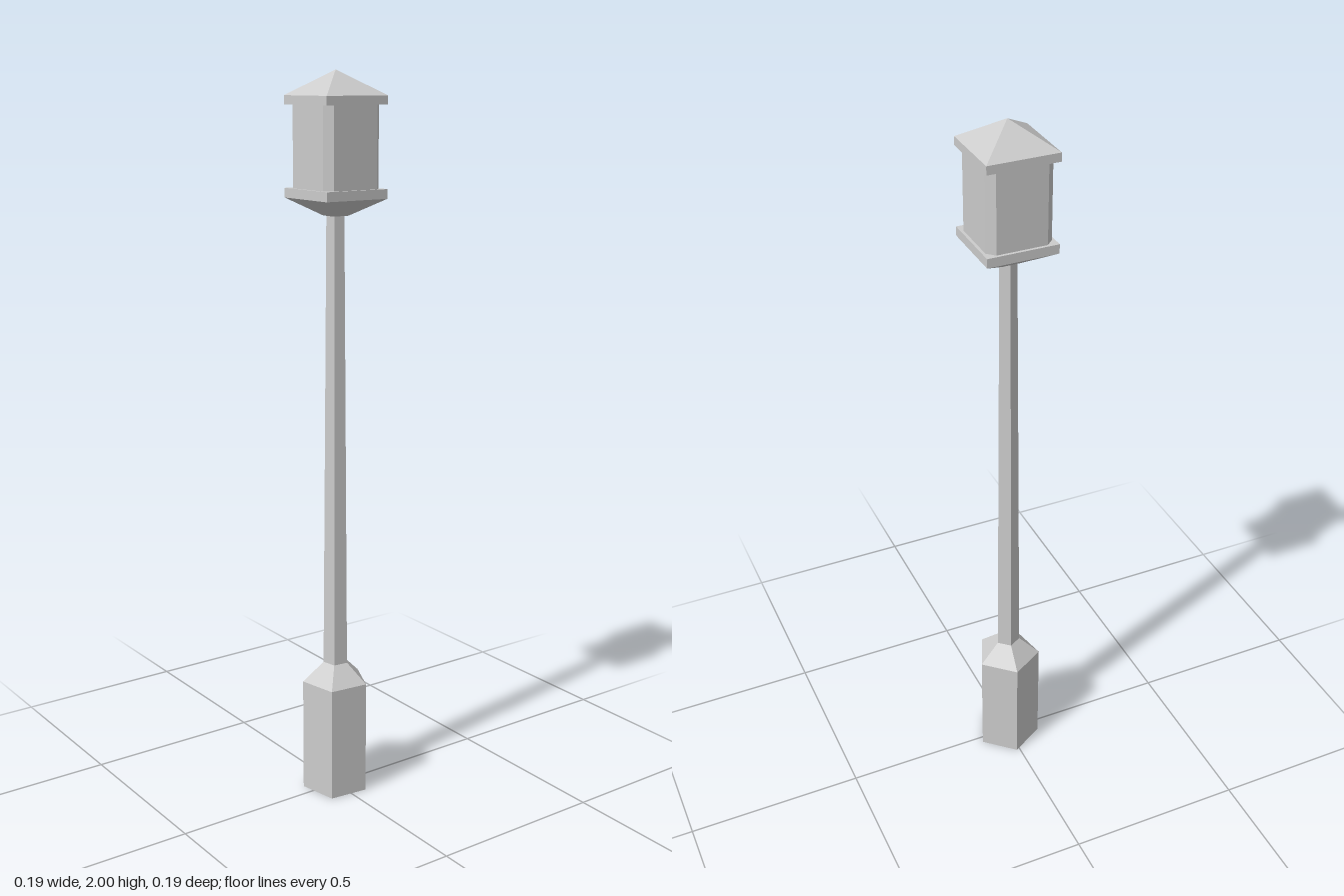
import * as THREE from 'three';

export function createModel() {
  const lamp = new THREE.Group();
  lamp.name = 'lampPost';
  const solid = new THREE.MeshStandardMaterial({ color: 0xcccccc, flatShading: true });
  const open = new THREE.MeshStandardMaterial({ color: 0xcccccc, flatShading: true, side: THREE.DoubleSide });

  const add = (parent, name, geometry, material, y) => {
    const mesh = new THREE.Mesh(geometry, material);
    mesh.name = name;
    mesh.position.y = y;
    parent.add(mesh);
  };

  // Five-sided hollow post, open at the foot
  const tube = (name, rTop, rBottom, y0, y1) =>
    add(lamp, name, new THREE.CylinderGeometry(rTop, rBottom, y1 - y0, 5, 1, true, Math.PI / 6), open, (y0 + y1) / 2);
  tube('base', 0.094, 0.094, 0, 0.325);
  tube('baseShoulder', 0.035, 0.094, 0.325, 0.38);
  tube('pole', 0.025, 0.035, 0.38, 1.635);

  // Square lantern
  const lantern = new THREE.Group();
  lantern.name = 'lantern';
  lamp.add(lantern);
  const half = 0.096;
  const square = (name, hTop, hBottom, y0, y1) =>
    add(lantern, name, new THREE.CylinderGeometry(hTop * Math.SQRT2, hBottom * Math.SQRT2, y1 - y0, 4, 1, false, Math.PI / 4), solid, (y0 + y1) / 2);
  square('lanternFoot', half, 0.024, 1.63, 1.675);
  square('lowerRim', half, half, 1.675, 1.7);
  square('upperRim', half, half, 1.913, 1.936);
  square('roof', 0, half, 1.936, 2);

  // Lantern housing: a square with cut corners
  const a = 0.088, b = 0.068;
  const outline = new THREE.Shape(
    [[a, -b], [a, b], [b, a], [-b, a], [-a, b], [-a, -b], [-b, -a], [b, -a]].map(([x, y]) => new THREE.Vector2(x, y))
  );
  const housing = new THREE.ExtrudeGeometry(outline, { depth: 0.213, bevelEnabled: false });
  housing.rotateX(-Math.PI / 2);
  add(lantern, 'housing', housing, solid, 1.7);

  return lamp;
}
